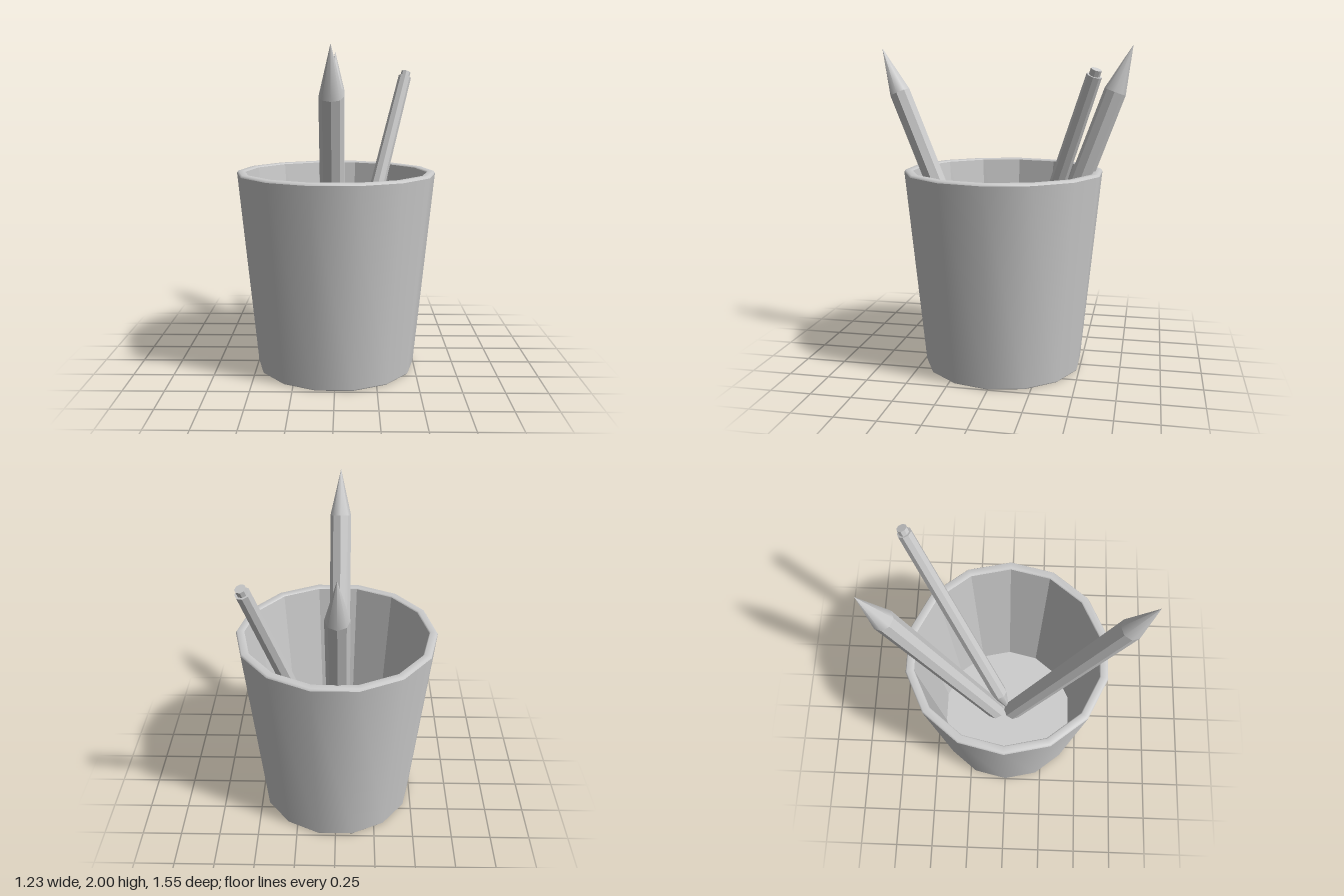
import * as THREE from 'three';

const smooth = new THREE.MeshStandardMaterial({ color: 0xcccccc });
const faceted = new THREE.MeshStandardMaterial({ color: 0xcccccc, flatShading: true });

const CUP_SIDES = 14;
const STICK_SIDES = 8;

function turned(name, profile, material) {
  const points = profile.map(([r, y]) => new THREE.Vector2(r, y));
  const mesh = new THREE.Mesh(new THREE.LatheGeometry(points, CUP_SIDES), material);
  mesh.name = name;
  mesh.rotation.y = Math.PI / 2; // puts a corner on the x axis
  return mesh;
}

// A tapered eight-sided section standing on height y
function section(name, rTop, rBottom, height, y, material, open = false) {
  const geometry = new THREE.CylinderGeometry(rTop, rBottom, height, STICK_SIDES, 1, open);
  geometry.translate(0, y + height / 2, 0);
  const mesh = new THREE.Mesh(geometry, material);
  mesh.name = name;
  return mesh;
}

// Leans a group so its y axis runs from one point to another
function lean(group, from, to) {
  const direction = to.clone().sub(from).normalize();
  group.position.copy(from);
  group.quaternion.setFromUnitVectors(new THREE.Vector3(0, 1, 0), direction);
  return group;
}

function createCup() {
  const cup = new THREE.Group();
  cup.name = 'cup';
  cup.add(
    turned('cupBase', [[0, 0], [0.492, 0]], smooth),
    turned('cupOuterWall', [[0.492, 0], [0.498, 0.008], [0.617, 1.232]], smooth),
    turned('cupRim', [[0.617, 1.232], [0.609, 1.245], [0.572, 1.245], [0.565, 1.237]], smooth),
    turned('cupInside', [[0.565, 1.237], [0.455, 0.1], [0, 0.1]], faceted)
  );
  return cup;
}

function createPencil(name, from, to) {
  const pencil = new THREE.Group();
  pencil.name = name;
  const length = from.distanceTo(to);
  const tip = 0.292;
  pencil.add(
    section('pencilShaft', 0.067, 0.067, length - tip, 0, faceted),
    section('pencilTip', 0, 0.067, tip, length - tip, smooth, true)
  );
  return lean(pencil, from, to);
}

// A tapered pen standing on its point, with a small button on top
function createPen(from, to) {
  const pen = new THREE.Group();
  pen.name = 'pen';
  const length = from.distanceTo(to);
  const tip = 0.22, button = 0.035;
  pen.add(
    section('penTip', 0.056, 0.006, tip, 0, smooth),
    section('penShaft', 0.043, 0.056, length - tip - button, tip, faceted),
    section('penButton', 0.031, 0.031, button, length - button, faceted)
  );
  return lean(pen, from, to);
}

export function createModel() {
  const model = new THREE.Group();
  model.name = 'pencilCup';
  const v = (x, y, z) => new THREE.Vector3(x, y, z);
  model.add(
    createCup(),
    createPencil('frontPencil', v(-0.015, 0.123, 0.037), v(-0.015, 1.985, 0.778)),
    createPencil('backPencil', v(-0.015, 0.123, -0.087), v(-0.015, 2.0, -0.773)),
    createPen(v(0.008, 0.1, 0.005), v(0.473, 1.858, -0.595))
  );
  return model;
}
